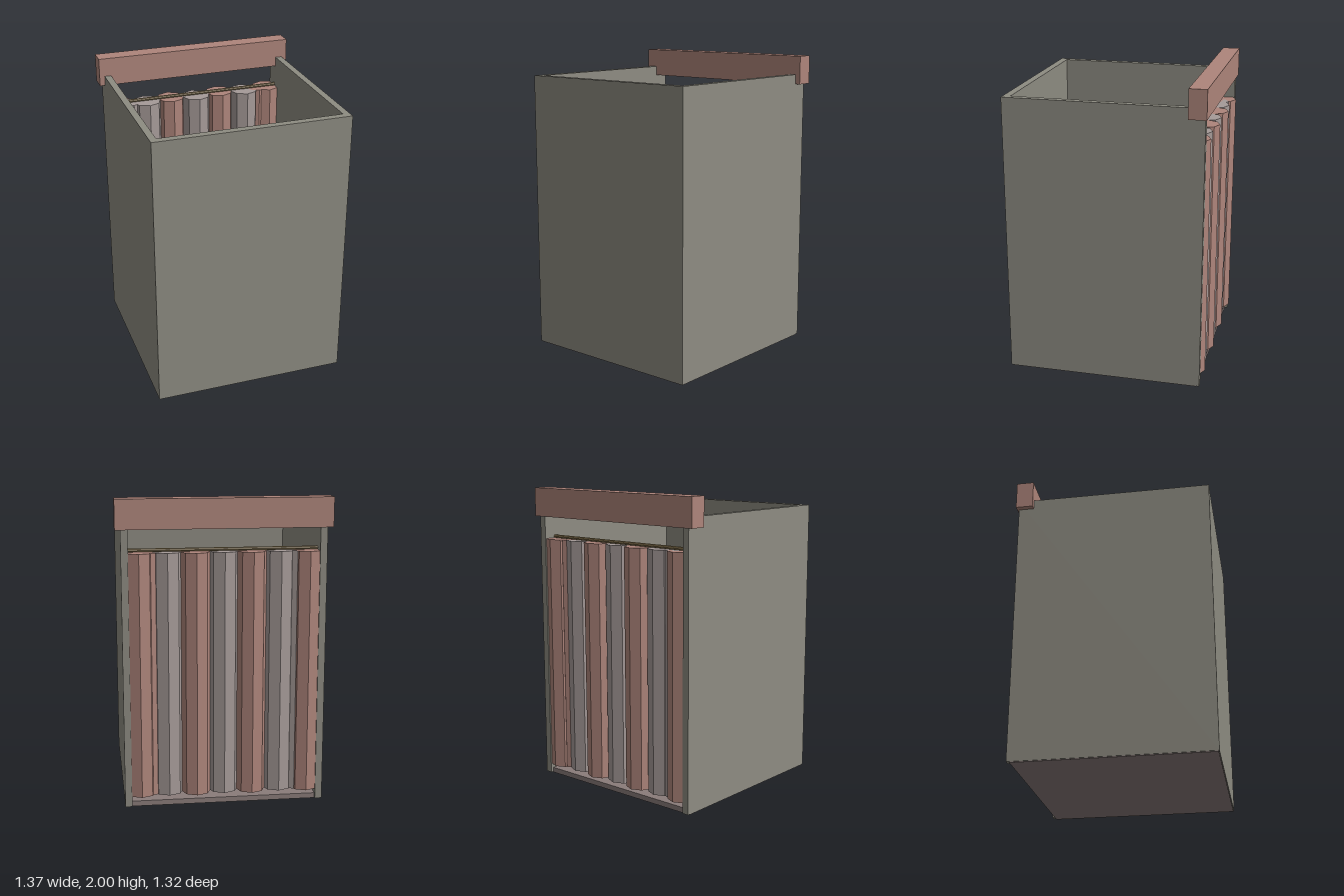
import * as THREE from 'three';

const mat = (color, flat = true) => new THREE.MeshStandardMaterial({ color, flatShading: flat });

export function createModel() {
  const model = new THREE.Group();
  model.name = 'changingBooth';
  const wallMat = mat(0x8e8c82), floorMat = mat(0x8a7c7a), roseMat = mat(0xae857b);
  const greyMat = mat(0xa59a98), brassMat = mat(0x85734f), woodMat = mat(0x84745c), glassMat = mat(0x8d9496);

  const add = (name, geometry, material, x = 0, y = 0, z = 0, parent = model) => {
    const mesh = new THREE.Mesh(geometry, material);
    mesh.name = name;
    mesh.position.set(x, y, z);
    parent.add(mesh);
    return mesh;
  };
  const box = (name, w, h, d, material, x, y, z, parent) =>
    add(name, new THREE.BoxGeometry(w, h, d), material, x, y, z, parent);

  // U-shaped shell: two side walls and the closed front, open at the back
  const plan = new THREE.Shape([
    [-0.65, 0.64], [-0.65, -0.66], [0.65, -0.66], [0.65, 0.64],
    [0.605, 0.64], [0.605, -0.61], [-0.605, -0.61], [-0.605, 0.64],
  ].map(([x, y]) => new THREE.Vector2(x, y)));
  const shell = new THREE.ExtrudeGeometry(plan, { depth: 1.87, bevelEnabled: false });
  shell.rotateX(-Math.PI / 2);
  add('walls', shell, wallMat, 0, 0.005, 0);

  // Floor slab
  box('floor', 1.29, 0.035, 1.275, floorMat, 0, 0.0175, 0.0175);

  // Header beam across the open back
  box('headerBeam', 1.37, 0.19, 0.115, roseMat, 0, 1.905, -0.595);

  // Curtain: alternating eight-sided folds, with a narrow fold near each end
  const curtain = new THREE.Group();
  curtain.name = 'curtain';
  model.add(curtain);
  const fold = (name, x, z, r, material) =>
    add(name, new THREE.CylinderGeometry(r, r, 1.59, 8), material, x, 0.865, z, curtain);
  for (let i = -3; i <= 3; i++) {
    const rose = i % 2 !== 0;
    fold(rose ? 'roseFold' : 'greyFold', i * 0.18, rose ? -0.562 : -0.54, rose ? 0.097 : 0.1,
      rose ? roseMat : greyMat);
  }
  fold('narrowFold', 0.465, -0.55, 0.068, roseMat);
  fold('narrowFold', -0.465, -0.55, 0.068, greyMat);

  // Re-centre the folds so that the outer ones stop inside the walls
  curtain.children.forEach((f) => {
    const p = f.geometry.attributes.position;
    for (let i = 0; i < p.count; i++) {
      p.setX(i, THREE.MathUtils.clamp(p.getX(i) + f.position.x, -0.606, 0.606) - f.position.x);
    }
  });

  // Curtain rod
  const rod = new THREE.CylinderGeometry(0.012, 0.012, 1.21, 8);
  rod.rotateZ(Math.PI / 2);
  add('curtainRod', rod, brassMat, 0, 1.67, -0.55);

  // Mirror on the inside of the front wall
  box('mirrorFrame', 0.47, 0.84, 0.012, woodMat, 0, 0.99, 0.606);
  box('mirrorGlass', 0.4, 0.77, 0.012, glassMat, 0, 0.99, 0.6);

  // Coat peg on the side wall
  const peg = new THREE.CylinderGeometry(0.009, 0.009, 0.07, 8);
  peg.rotateZ(Math.PI / 2);
  add('coatPeg', peg, brassMat, -0.573, 1.35, 0.165);

  // Round stool in the corner
  const stool = new THREE.CylinderGeometry(0.137, 0.137, 0.42, 12);
  add('stool', stool, woodMat, 0.365, 0.245, 0.37);

  return model;
}
